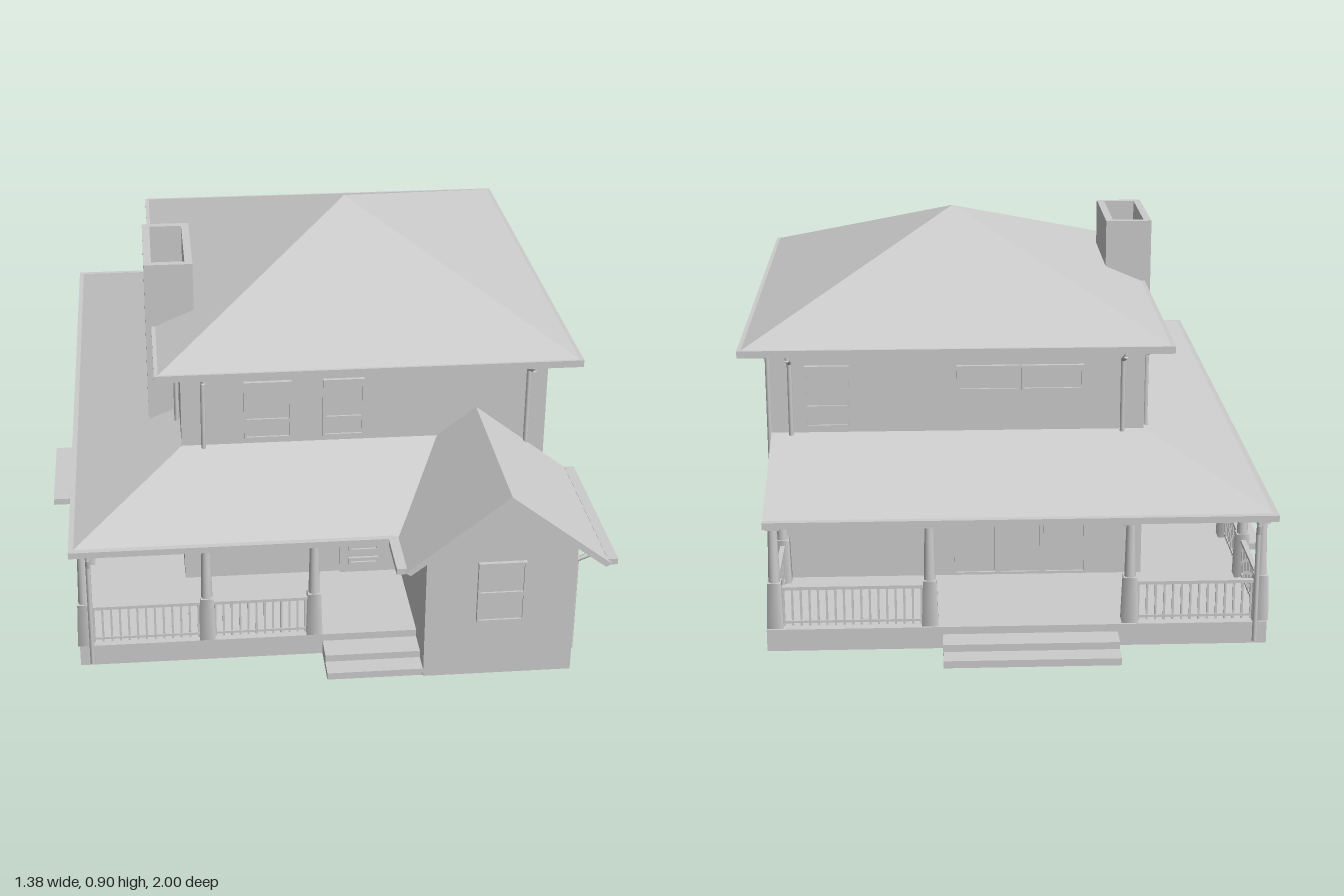
import * as THREE from 'three';
import { mergeGeometries } from 'three/addons/utils/BufferGeometryUtils.js';

const mat = new THREE.MeshStandardMaterial({ color: 0xcccccc });
const thin = new THREE.MeshStandardMaterial({ color: 0xcccccc, side: THREE.DoubleSide });
const V = (x, y, z) => new THREE.Vector3(x, y, z);

export function createModel() {
  const house = new THREE.Group();
  house.name = 'house';

  const add = (name, geo, parent = house, m = mat) => {
    const mesh = new THREE.Mesh(geo, m);
    mesh.name = name;
    parent.add(mesh);
    return mesh;
  };
  // Box given by its limits on each axis
  const boxGeo = (x0, x1, y0, y1, z0, z1) =>
    new THREE.BoxGeometry(x1 - x0, y1 - y0, z1 - z0).translate((x0 + x1) / 2, (y0 + y1) / 2, (z0 + z1) / 2);
  const box = (name, ...b) => add(name, boxGeo(...b));
  const group = (name) => {
    const g = new THREE.Group();
    g.name = name;
    house.add(g);
    return g;
  };
  // Flat roof facets, each a triangle or a quad
  const facets = (name, list) => {
    const p = [];
    for (const f of list) for (let i = 1; i < f.length - 1; i++) p.push(...f[0], ...f[i], ...f[i + 1]);
    const g = new THREE.BufferGeometry();
    g.setAttribute('position', new THREE.Float32BufferAttribute(p, 3));
    g.computeVertexNormals();
    return add(name, g, house, thin);
  };
  const poly = (pts) => new THREE.Shape(pts.map(([x, y]) => new THREE.Vector2(x, y)));
  const rect = (x0, x1, y0, y1) => poly([[x0, y0], [x1, y0], [x1, y1], [x0, y1]]);
  const extrude = (shape, depth) => new THREE.ExtrudeGeometry(shape, { depth, bevelEnabled: false });

  // Walls and porch floor
  box('mainWalls', -0.33, 0.6, 0, 0.67, -0.575, 0.525);
  box('porchFloor', -0.6, 0.6, 0, 0.055, -0.89, 0.82);
  const wing = poly([[0.235, 0], [0.6, 0], [0.6, 0.365], [0.42, 0.505], [0.235, 0.365]]);
  add('wingWalls', extrude(wing, 0.44).translate(0, 0, 0.5));

  // Steps, two treads on each side
  for (const [i, h] of [[1, 0.036], [2, 0.018]]) {
    const d = i * 0.05;
    box('frontStep', 0, 0.235, 0, h, 0.8, 0.835 + d);
    box('backStep', -0.24, 0.18, 0, h, -0.9 - d, -0.85);
    box('leftStep', -0.595 - d * 0.95, -0.55, 0, h, -0.305, 0.01);
  }

  // Upper hipped roof with soffit
  const y = 0.68, top = [0.14, 0.905, -0.02];
  const [a, b, c, d] = [[-0.385, y, 0.6], [0.66, y, 0.6], [0.66, y, -0.65], [-0.385, y, -0.65]];
  facets('upperRoof', [[a, b, top], [b, c, top], [c, d, top], [d, a, top]]);
  box('upperSoffit', -0.375, 0.65, 0.664, 0.679, -0.64, 0.59);

  // Wraparound porch roof with flat ceiling
  const e = 0.335, t = 0.445;
  facets('porchRoof', [
    [[-0.61, e, 0.84], [0.18, e, 0.84], [0.325, t, 0.525], [-0.33, t, 0.525]],
    [[-0.61, e, -0.91], [-0.61, e, 0.84], [-0.33, t, 0.525], [-0.33, t, -0.575]],
    [[0.6, e, -0.91], [-0.61, e, -0.91], [-0.33, t, -0.575], [0.6, t, -0.575]],
    [[0.6, e, -0.575], [0.6, e, -0.91], [0.6, t, -0.575]],
  ]);
  box('porchCeilingFront', -0.6, 0.236, 0.318, 0.334, 0.5, 0.83);
  box('porchCeilingLeft', -0.6, -0.3, 0.318, 0.334, -0.9, 0.83);
  box('porchCeilingBack', -0.6, 0.598, 0.318, 0.334, -0.9, -0.55);

  // Gabled wing roof
  const chevron = poly([[0.175, 0.33], [0.42, 0.522], [0.668, 0.33], [0.655, 0.322], [0.42, 0.5], [0.188, 0.322]]);
  add('wingRoof', extrude(chevron, 0.47).translate(0, 0, 0.525));

  // Gutters as boxes along the eaves
  const gutters = [
    [-0.395, 0.67, 0.662, 0.68, 0.592, 0.607], [-0.395, 0.67, 0.662, 0.68, -0.657, -0.642],
    [-0.395, -0.378, 0.662, 0.68, -0.657, 0.607], [0.653, 0.67, 0.662, 0.68, -0.657, 0.607],
    [-0.615, 0.17, 0.322, 0.338, 0.833, 0.848], [-0.615, 0.6, 0.322, 0.338, -0.917, -0.902],
    [-0.615, -0.6, 0.322, 0.338, -0.917, 0.848],
    [0.66, 0.685, 0.322, 0.337, 0.525, 0.985], [0.156, 0.18, 0.322, 0.337, 0.82, 0.985],
  ];
  for (const g of gutters) box('gutter', ...g);

  // Downspouts: out at the eave, elbow back to the wall, straight down
  const rod = (p, q, r) => {
    const dir = q.clone().sub(p);
    const g = new THREE.CylinderGeometry(r, r, dir.length(), 8);
    g.applyQuaternion(new THREE.Quaternion().setFromUnitVectors(V(0, 1, 0), dir.normalize()));
    return g.translate(...p.clone().add(q).multiplyScalar(0.5).toArray());
  };
  const spout = (x, z, nx, nz, reach, y1, y0) => {
    const at = (o, h) => V(x + nx * o, h, z + nz * o);
    const pts = [at(reach, y1), at(reach, y1 - 0.015), at(0.008, y1 - 0.04), at(0.008, y0)];
    add('downspout', mergeGeometries([0, 1, 2].map((i) => rod(pts[i], pts[i + 1], 0.006))));
  };
  for (const x of [-0.275, 0.55]) {
    spout(x, 0.525, 0, 1, 0.07, 0.668, 0.42);
    spout(x, -0.575, 0, -1, 0.07, 0.668, 0.43);
  }
  for (const z of [0.37, -0.535]) {
    spout(0.6, z, 1, 0, 0.06, 0.668, 0.035);
    spout(-0.33, z, -1, 0, 0.05, 0.668, 0.42);
  }
  spout(0.6, 0.9, 1, 0, 0.07, 0.328, 0.035);
  spout(-0.57, 0.82, 0, 1, 0.015, 0.325, 0.01);
  spout(-0.57, -0.89, 0, -1, 0.015, 0.325, 0.01);

  // Hollow chimney
  const flue = rect(-0.41, -0.285, -0.305, -0.01);
  flue.holes.push(rect(-0.39, -0.305, -0.285, -0.03));
  add('chimney', extrude(flue, 0.8).rotateX(-Math.PI / 2).translate(0, 0.05, 0));

  // Porch columns: square tapered pedestal, round shaft, cap
  const columns = [
    [-0.285, 0.8], [-0.02, 0.8], [-0.585, 0.8], [-0.585, 0.42], [-0.585, 0.04], [-0.585, -0.33],
    [-0.585, -0.6], [-0.585, -0.865], [-0.27, -0.865], [0.21, -0.865], [0.58, -0.865], [0.58, -0.595],
  ];
  for (const [x, z] of columns) {
    const col = group('porchColumn');
    col.position.set(x, 0, z);
    add('pedestal', new THREE.CylinderGeometry(0.023, 0.028, 0.115, 4, 1).rotateY(Math.PI / 4).translate(0, 0.1125, 0), col).geometry =
      new THREE.CylinderGeometry(0.023, 0.028, 0.115, 4, 1).toNonIndexed().rotateY(Math.PI / 4).translate(0, 0.1125, 0);
    add('shaft', new THREE.CylinderGeometry(0.011, 0.014, 0.14, 12).translate(0, 0.24, 0), col);
    add('cap', boxGeo(-0.017, 0.017, 0.305, 0.32, -0.017, 0.017), col);
  }

  // Railings with balusters
  const rail = (x0, z0, x1, z1) => {
    const len = Math.hypot(x1 - x0, z1 - z0), n = Math.round(len / 0.021);
    const parts = [boxGeo(0, len, 0.148, 0.156, -0.006, 0.006), boxGeo(0, len, 0.062, 0.068, -0.004, 0.004)];
    for (let i = 1; i < n; i++) {
      const x = (i * len) / n;
      parts.push(boxGeo(x - 0.0025, x + 0.0025, 0.055, 0.15, -0.0025, 0.0025));
    }
    const m = add('railing', mergeGeometries(parts));
    m.position.set(x0, 0, z0);
    m.rotation.y = Math.atan2(z0 - z1, x1 - x0);
  };
  rail(-0.585, 0.8, -0.285, 0.8);
  rail(-0.285, 0.8, -0.02, 0.8);
  for (const [p, q] of [[0.8, 0.42], [0.42, 0.04], [-0.33, -0.6], [-0.6, -0.865]]) rail(-0.585, p, -0.585, q);
  rail(-0.585, -0.865, -0.27, -0.865);
  rail(0.21, -0.865, 0.58, -0.865);
  rail(0.58, -0.865, 0.58, -0.595);

  // Windows: each pane sits in its own frame; place() turns them onto a wall
  const place = (name, side, u, yMid, wall) => {
    const g = group(name);
    if (side === 'front') g.position.set(u, yMid, wall);
    if (side === 'back') { g.position.set(u, yMid, wall); g.rotation.y = Math.PI; }
    if (side === 'right') { g.position.set(wall, yMid, u); g.rotation.y = Math.PI / 2; }
    if (side === 'left') { g.position.set(wall, yMid, u); g.rotation.y = -Math.PI / 2; }
    return g;
  };
  const pane = (g, x0, x1, y0, y1) => {
    const s = rect(x0, x1, y0, y1), f = 0.006;
    s.holes.push(rect(x0 + f, x1 - f, y0 + f, y1 - f));
    add('windowFrame', extrude(s, 0.01), g);
    add('glass', boxGeo(x0 + f, x1 - f, y0 + f, y1 - f, -0.002, 0.005), g);
  };
  // Sash window, split across its height; pair, split across its width
  const sash = (side, u, wall, w, y0, ym, y1) => {
    const g = place('sashWindow', side, u, 0, wall);
    pane(g, -w / 2, w / 2, y0, ym);
    pane(g, -w / 2, w / 2, ym, y1);
  };
  const row = (name, side, u, wall, w, y0, y1, n) => {
    const g = place(name, side, u, 0, wall);
    for (let i = 0; i < n; i++) pane(g, -w / 2 + (i * w) / n + 0.002, -w / 2 + ((i + 1) * w) / n - 0.002, y0, y1);
  };
  sash('front', -0.112, 0.525, 0.12, 0.46, 0.51, 0.618);
  sash('front', 0.08, 0.525, 0.105, 0.46, 0.51, 0.618);
  sash('front', -0.15, 0.525, 0.115, 0.14, 0.213, 0.3);
  sash('front', 0.418, 0.94, 0.117, 0.153, 0.23, 0.317);
  sash('right', -0.245, 0.6, 0.135, 0.51, 0.56, 0.615);
  sash('right', -0.225, 0.6, 0.145, 0.155, 0.235, 0.315);
  sash('back', 0.46, -0.575, 0.11, 0.46, 0.51, 0.618);
  sash('left', -0.42, -0.33, 0.11, 0.46, 0.51, 0.618);
  sash('left', -0.19, -0.33, 0.11, 0.46, 0.51, 0.618);
  row('pairWindow', 'right', 0.195, 0.6, 0.21, 0.463, 0.615, 2);
  row('pairWindow', 'right', 0.54, 0.6, 0.205, 0.135, 0.3, 2);
  row('wideWindow', 'back', -0.02, -0.575, 0.32, 0.55, 0.615, 2);
  row('patioDoor', 'back', -0.02, -0.575, 0.34, 0.06, 0.3, 3);

  // Panelled doors with a lever handle
  const door = (side, u, wall) => {
    const g = place('door', side, u, 0, wall);
    add('doorLeaf', boxGeo(-0.075, 0.075, 0.055, 0.312, -0.002, 0.008), g);
    for (let i = 0; i < 6; i++) pane(g, -0.052, 0.026, 0.081 + i * 0.039, 0.1 + i * 0.039);
    g.children.slice(1).forEach((m) => (m.position.z = 0.005));
    add('handle', boxGeo(0.012, 0.045, 0.167, 0.172, 0.02, 0.026), g);
    add('handleStem', boxGeo(0.038, 0.045, 0.165, 0.174, 0.005, 0.024), g);
  };
  door('front', 0.15, 0.525);
  door('left', -0.15, -0.33);

  return house;
}
